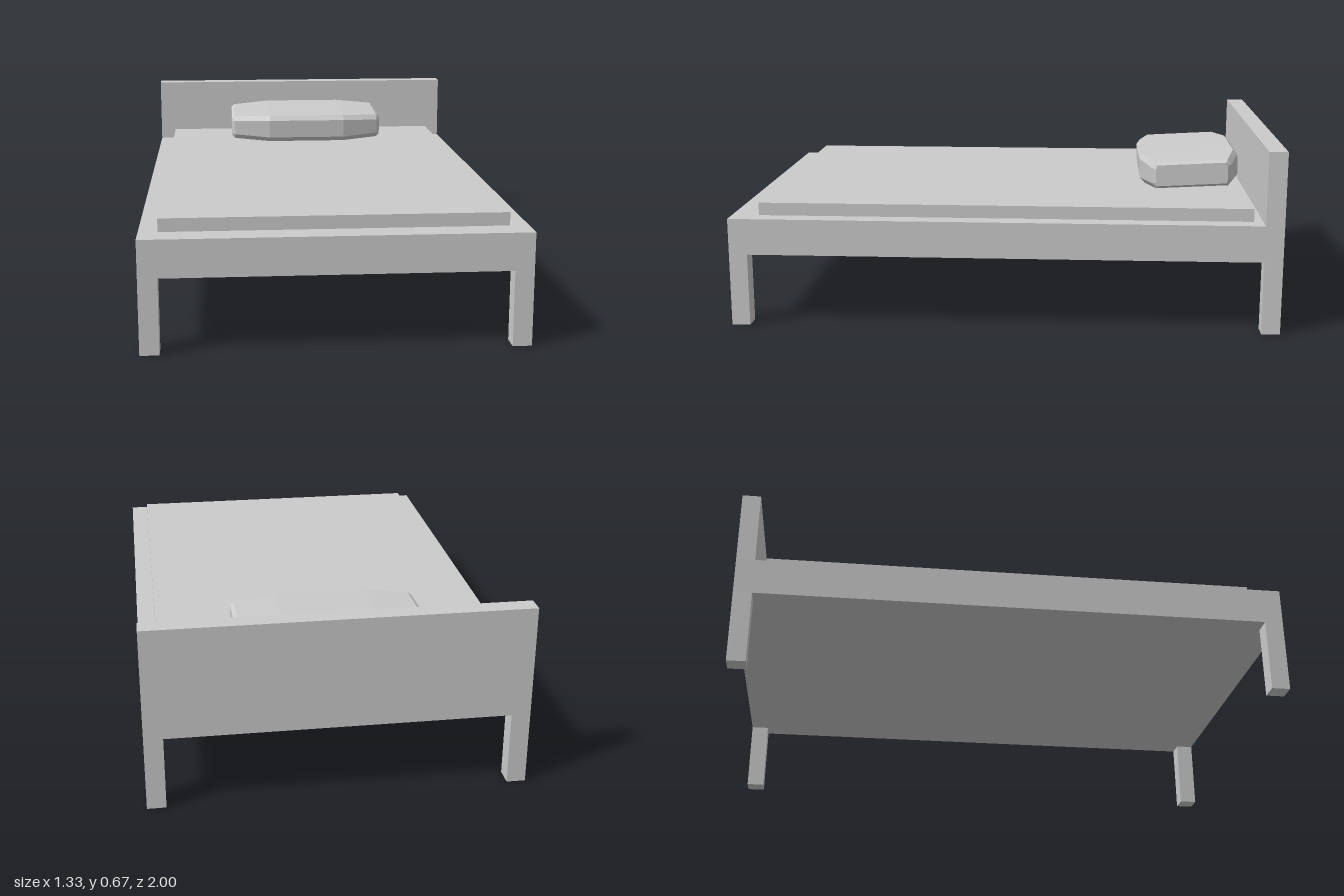
import * as THREE from 'three';

const material = new THREE.MeshStandardMaterial({ color: 0xcccccc, flatShading: true });

const W = 1.333, L = 2, POST = 0.067;       // bed width, length, post thickness
const LEG_H = 0.267, FRAME_TOP = 0.4, HEAD_TOP = 0.667;

// Box given by its size, centre and bottom height
function box(name, w, h, d, x, bottom, z) {
  const mesh = new THREE.Mesh(new THREE.BoxGeometry(w, h, d), material);
  mesh.name = name;
  mesh.position.set(x, bottom + h / 2, z);
  return mesh;
}

// Pillow: chamfered rectangles lofted along x, closed at both ends
function pillowGeometry() {
  // x, half height, half depth, chamfer height, chamfer depth
  const half = [[0.165, 0.058, 0.19, 0.02, 0.016], [0.32, 0.05, 0.15, 0.02, 0.014], [0.333, 0.04, 0.135, 0.015, 0.006]];
  const stations = [...half.map(([x, ...r]) => [-x, ...r]).reverse(), ...half];
  const points = [], index = [], n = 8;
  for (const [x, h, d, ch, cd] of stations) {
    const ring = [[h, d - cd], [h - ch, d], [ch - h, d], [-h, d - cd], [-h, cd - d], [ch - h, -d], [h - ch, -d], [h, cd - d]];
    for (const [y, z] of ring) points.push(x, y, z);
  }
  for (let s = 0; s < stations.length - 1; s++) {
    for (let i = 0; i < n; i++) {
      const a = s * n + i, b = s * n + (i + 1) % n;
      index.push(a, b, b + n, a, b + n, a + n);
    }
  }
  const last = (stations.length - 1) * n;
  for (let i = 1; i < n - 1; i++) {
    index.push(0, i + 1, i);
    index.push(last, last + i, last + i + 1);
  }
  const geometry = new THREE.BufferGeometry();
  geometry.setAttribute('position', new THREE.Float32BufferAttribute(points, 3));
  geometry.setIndex(index);
  const flat = geometry.toNonIndexed();
  flat.computeVertexNormals();
  return flat;
}

export function createModel() {
  const bed = new THREE.Group();
  bed.name = 'bed';

  // Frame, headboard and mattress
  bed.add(box('frame', W, FRAME_TOP - LEG_H, L, 0, LEG_H, 0));
  bed.add(box('headboard', W, HEAD_TOP - FRAME_TOP, POST, 0, FRAME_TOP, -(L - POST) / 2));
  bed.add(box('mattress', 1.2, 0.047, 1.8, 0, FRAME_TOP, 0));

  // Corner legs
  for (const sx of [-1, 1]) {
    for (const sz of [-1, 1]) {
      const name = (sz > 0 ? 'front' : 'back') + (sx > 0 ? 'Left' : 'Right') + 'Leg';
      bed.add(box(name, POST, LEG_H, POST, sx * (W - POST) / 2, 0, sz * (L - POST) / 2));
    }
  }

  // Pillow, tipped up slightly towards the headboard
  const pillow = new THREE.Mesh(pillowGeometry(), material);
  pillow.name = 'pillow';
  pillow.position.set(0, 0.517, -0.697);
  pillow.rotation.x = 0.055;
  bed.add(pillow);

  return bed;
}
